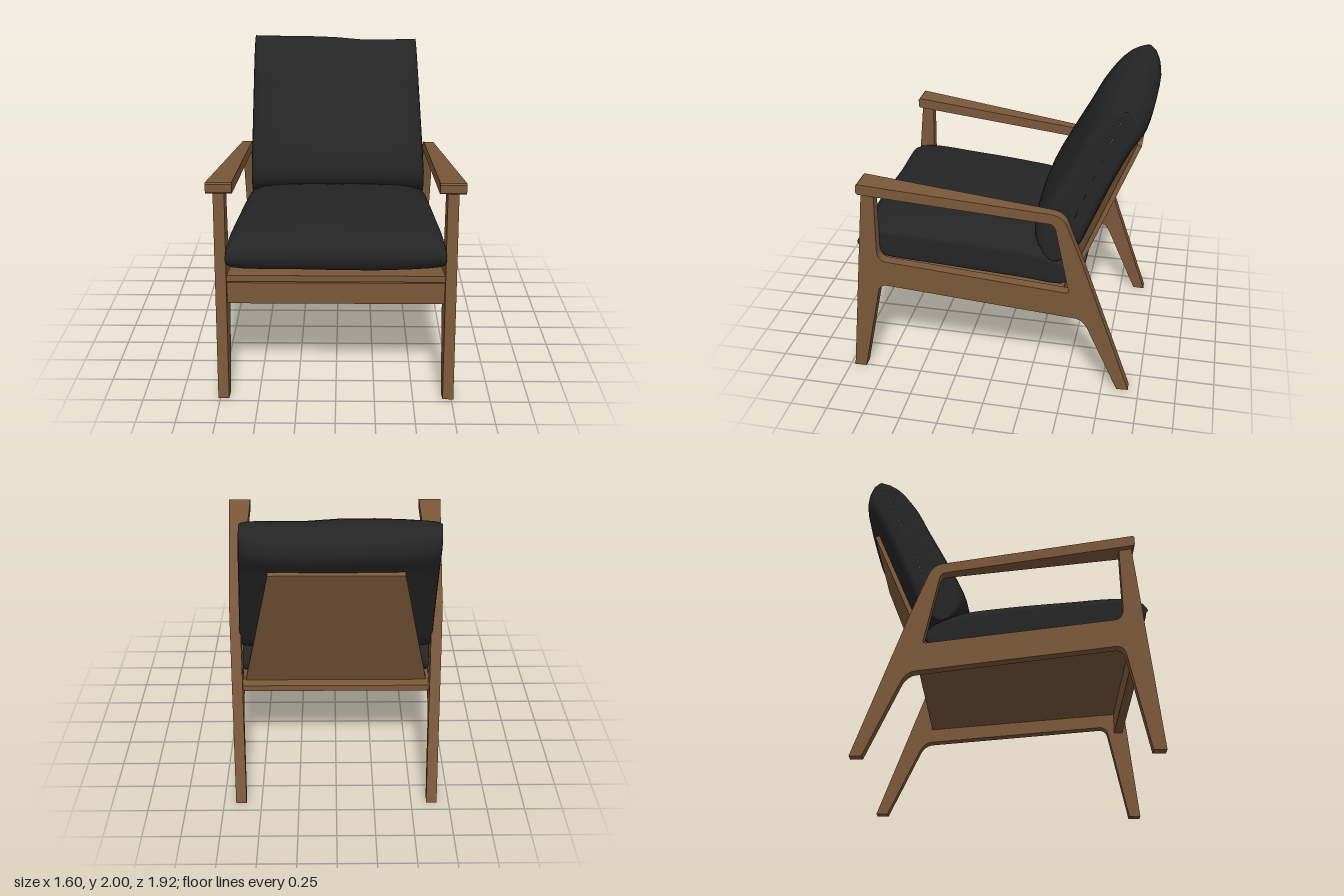
import * as THREE from 'three';
import { toCreasedNormals } from 'three/addons/utils/BufferGeometryUtils.js';

const wood = new THREE.MeshStandardMaterial({ color: 0x7a583a });
wood.name = 'walnut wood';
const fabric = new THREE.MeshStandardMaterial({ color: 0x252525 });
fabric.name = 'black fabric';

// Inner face of the side frames, which converge towards the back
const inner = z => 0.646 + 0.049 * z;

function part(geometry, material, name) {
  const mesh = new THREE.Mesh(geometry, material);
  mesh.name = name;
  return mesh;
}

// Move every vertex by a rule
function warp(geometry, rule) {
  const p = geometry.attributes.position;
  const v = new THREE.Vector3();
  for (let i = 0; i < p.count; i++) {
    rule(v.fromBufferAttribute(p, i));
    p.setXYZ(i, v.x, v.y, v.z);
  }
  return toCreasedNormals(geometry, 0.6);
}

// Extrude a (z, y) profile sideways between two x limits that depend on z
function sidePiece(shape, side, from, to) {
  const g = new THREE.ExtrudeGeometry(shape, { depth: 1, bevelEnabled: false, curveSegments: 6 });
  g.rotateY(-Math.PI / 2);
  return warp(g, v => {
    const t = v.x + 1;
    const a = side > 0 ? from(v.z) : -to(v.z);
    v.x = a + t * (to(v.z) - from(v.z));
  });
}

// Legs, side rail and rear post in one outline
function frameShape() {
  const s = new THREE.Shape();
  s.moveTo(0.97, 0);
  s.lineTo(0.83, 1.39);
  s.lineTo(0.75, 1.39);
  s.lineTo(0.757, 0.96);
  s.quadraticCurveTo(0.76, 0.87, 0.70, 0.864);
  s.lineTo(-0.485, 0.74);
  s.quadraticCurveTo(-0.51, 0.738, -0.506, 0.76);
  s.lineTo(-0.415, 1.20);
  s.quadraticCurveTo(-0.405, 1.24, -0.37, 1.243);
  s.lineTo(-0.37, 1.313);
  s.quadraticCurveTo(-0.46, 1.31, -0.49, 1.225);
  s.lineTo(-0.594, 0.955);
  s.lineTo(-0.93, 0);
  s.lineTo(-0.852, 0);
  s.lineTo(-0.64, 0.47);
  s.quadraticCurveTo(-0.61, 0.54, -0.55, 0.548);
  s.lineTo(0.70, 0.68);
  s.quadraticCurveTo(0.75, 0.682, 0.762, 0.63);
  s.lineTo(0.89, 0);
  return s;
}

function armShape() {
  const s = new THREE.Shape();
  s.moveTo(0.84, 1.448);
  s.lineTo(-0.37, 1.313);
  s.lineTo(-0.37, 1.243);
  s.lineTo(0.84, 1.377);
  s.lineTo(0.85, 1.387);
  s.lineTo(0.85, 1.438);
  return s;
}

// Pillow: a closed (z, y) profile swept across x, thinner towards both ends
function cushion(profile, centre, normal, halfWidth, lump) {
  const curve = new THREE.CatmullRomCurve3(profile.map(([z, y]) => new THREE.Vector3(0, y, z)), true);
  const ring = curve.getSpacedPoints(48).slice(0, 48);
  const half = [[0.35, 0.985], [0.65, 0.94], [0.85, 0.86], [0.95, 0.76], [0.99, 0.64], [1, 0.5], [1, 0]];
  const sections = [...half.map(([t, f]) => [-t, f]).reverse(), [0, 1], ...half];
  const pos = [], index = [], n = ring.length;
  const v = new THREE.Vector3();
  for (const [t, f] of sections) {
    for (const p of ring) {
      const d = (p.z - centre[0]) * normal[0] + (p.y - centre[1]) * normal[1];
      v.set(0, p.y - (1 - f) * d * normal[1], p.z - (1 - f) * d * normal[0]);
      v.x = t * halfWidth(v);
      lump(v, t);
      pos.push(v.x, v.y, v.z);
    }
  }
  for (let i = 0; i < sections.length - 1; i++) {
    for (let j = 0; j < n; j++) {
      const a = i * n + j, b = i * n + (j + 1) % n;
      index.push(a, b, a + n, b, b + n, a + n);
    }
  }
  const g = new THREE.BufferGeometry();
  g.setAttribute('position', new THREE.Float32BufferAttribute(pos, 3));
  g.setIndex(index);
  g.computeVertexNormals();
  return g;
}

export function createModel() {
  const chair = new THREE.Group();
  chair.name = 'armchair';

  // Side frames and armrests
  for (const side of [1, -1]) {
    const label = side > 0 ? 'left' : 'right';
    chair.add(part(sidePiece(frameShape(), side, inner, z => inner(z) + 0.07), wood, label + 'SideFrame'));
    chair.add(part(sidePiece(armShape(), side, z => 0.63 + 0.008 * z,
      z => 0.729 + 0.084 * z), wood, label + 'Armrest'));
  }

  // Front rail
  const rail = new THREE.BoxGeometry(1.38, 0.145, 0.06);
  rail.translate(0, 0.7125, 0.84);
  chair.add(part(rail, wood, 'frontRail'));

  // Sloping seat panel, narrower at the back
  const panel = new THREE.BoxGeometry(2, 0.042, 1.42);
  panel.translate(0, 0, 0.16);
  chair.add(part(warp(panel, v => {
    v.x *= inner(v.z);
    v.y += 0.724 + 0.104 * v.z;
  }), wood, 'seatPanel'));

  // Leaning tapered back panel
  const back = new THREE.Shape();
  back.moveTo(-0.61, 0);
  back.lineTo(0.61, 0);
  back.lineTo(0.41, 1.10);
  back.lineTo(-0.41, 1.10);
  const backPanel = part(new THREE.ExtrudeGeometry(back, { depth: 0.03, bevelEnabled: false }), wood, 'backPanel');
  backPanel.rotation.x = -Math.atan(0.41);
  backPanel.position.set(0, 0.675, -0.48);
  chair.add(backPanel);

  // Seat cushion
  chair.add(part(cushion([
    [-0.45, 0.94], [-0.28, 1.03], [0, 1.07], [0.4, 1.095], [0.75, 1.105], [0.87, 1.06], [0.912, 0.98],
    [0.89, 0.9], [0.8, 0.845], [0.3, 0.79], [-0.2, 0.745], [-0.44, 0.72], [-0.495, 0.77], [-0.495, 0.87],
  ], [0.2, 0.89], [-0.09, 0.996], v => inner(v.z) - 0.001,
  (v, t) => { v.z += 0.008 * Math.sin(t * 5) * Math.max(0, v.z); }), fabric, 'seatCushion'));

  // Back cushion, sagging a little at its upper left corner
  chair.add(part(cushion([
    [-0.80, 2.0], [-0.68, 1.97], [-0.57, 1.85], [-0.47, 1.66], [-0.33, 1.395], [-0.24, 1.2], [-0.23, 1.08],
    [-0.33, 0.96], [-0.44, 0.93], [-0.55, 1.0], [-0.635, 1.18], [-0.75, 1.45], [-0.865, 1.69],
    [-0.95, 1.84], [-0.90, 1.96],
  ], [-0.6, 1.45], [0.928, 0.371], v => 0.63 - 0.04 * Math.max(0, v.y - 1.1),
  (v, t) => {
    const top = Math.max(0, v.y - 1.1) / 0.9;
    v.x -= 0.022 * top;
    v.y -= 0.02 * top * (t + 0.3 + 0.5 * Math.sin(t * 4.5)) * (t > -0.3 ? 1 : 0);
    v.z += 0.02 * top * t;
  }), fabric, 'backCushion'));

  return chair;
}
